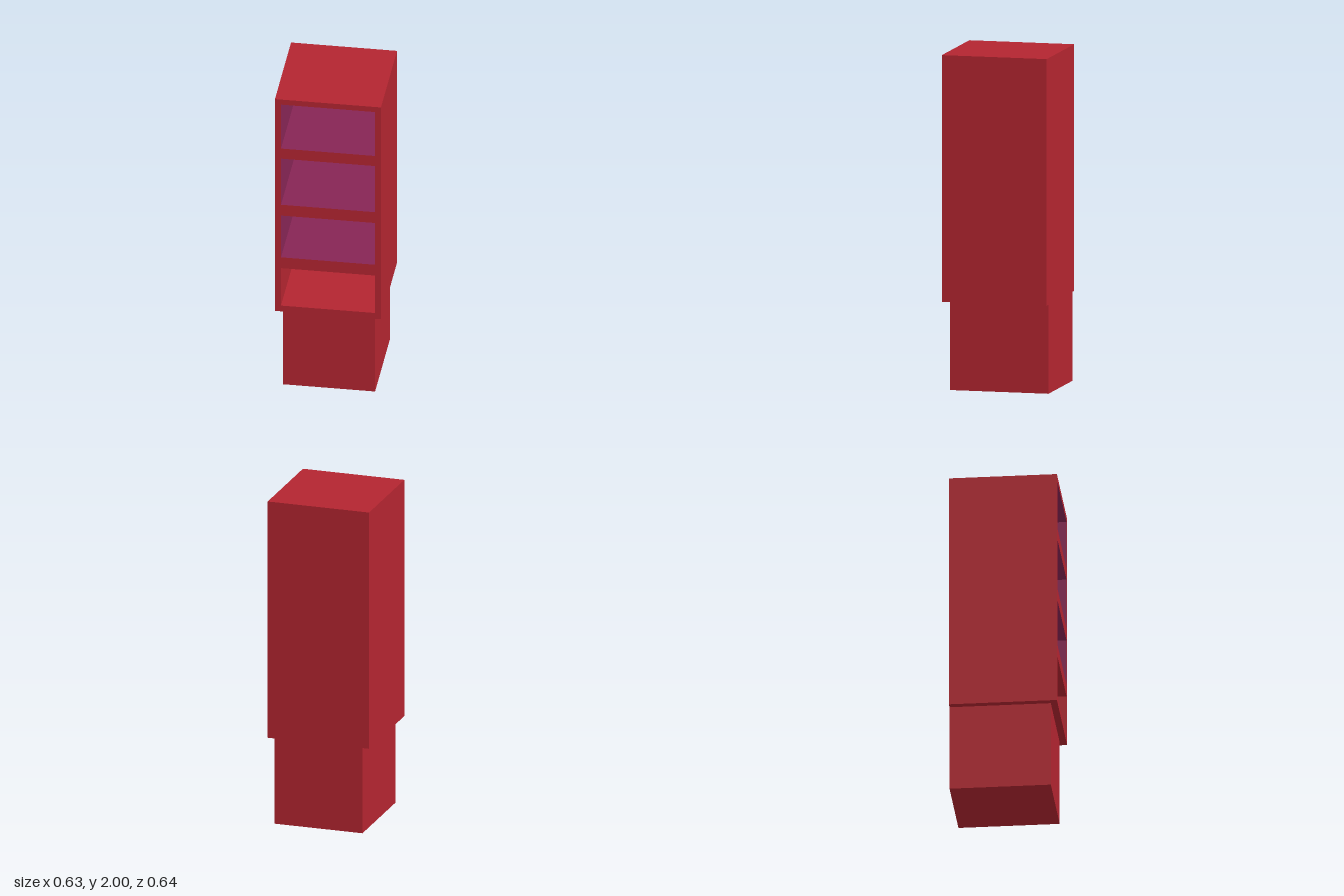
import * as THREE from 'three';

export function createModel() {
  const model = new THREE.Group();
  model.name = 'shelfTower';

  const mat = (name, color) => {
    const m = new THREE.MeshStandardMaterial({ color });
    m.name = name;
    return m;
  };
  const red = mat('red', 0xb32530);
  const purple = mat('purple', 0x872555);
  const pink = mat('pink', 0xcf2566);

  const add = (parent, name, geometry, material) => {
    const mesh = new THREE.Mesh(geometry, material);
    mesh.name = name;
    parent.add(mesh);
    return mesh;
  };

  // Flat panel facing +z by default, turned by rx / ry
  const panel = (parent, name, material, w, h, pos, rx = 0, ry = 0) => {
    const mesh = add(parent, name, new THREE.PlaneGeometry(w, h), material);
    mesh.position.set(...pos);
    mesh.rotation.set(rx, ry, 0);
  };

  const Q = Math.PI / 2;
  const W = 0.316, D = 0.32, Y0 = 0.53, Y1 = 2; // cabinet half sizes and heights
  const IW = 0.28, BACK = -0.28;               // compartment half width and back

  // Base, flush with the cabinet at the back
  add(model, 'base', new THREE.BoxGeometry(0.55, Y0, 0.6), red).position.set(0, Y0 / 2, -0.02);

  // Cabinet shell without its front
  const cabinet = new THREE.Group();
  cabinet.name = 'cabinet';
  model.add(cabinet);
  const H = Y1 - Y0, YC = (Y0 + Y1) / 2;
  for (const s of [-1, 1]) {
    panel(cabinet, s > 0 ? 'leftSide' : 'rightSide', red, D * 2, H, [s * W, YC, 0], 0, s * Q);
  }
  panel(cabinet, 'back', red, W * 2, H, [0, YC, -D], 0, Math.PI);
  panel(cabinet, 'top', red, W * 2, D * 2, [0, Y1, 0], -Q);
  panel(cabinet, 'underside', red, W * 2, D * 2, [0, Y0, 0], Q);

  // Compartments: bottom, top, lining, back
  const compartments = [
    [0.57, 0.83, red, red],
    [0.905, 1.195, purple, purple],
    [1.27, 1.59, purple, pink],
    [1.66, 1.965, purple, purple],
  ];

  // Front frame with one opening per compartment
  const rect = (target, x, y0, y1) => {
    target.moveTo(-x, y0);
    target.lineTo(x, y0);
    target.lineTo(x, y1);
    target.lineTo(-x, y1);
    target.closePath();
    return target;
  };
  const front = rect(new THREE.Shape(), W, Y0, Y1);
  for (const [y0, y1] of compartments) front.holes.push(rect(new THREE.Path(), IW, y0, y1));
  add(cabinet, 'frontFrame', new THREE.ShapeGeometry(front), red).position.z = D;

  // Inward-facing lining of each compartment
  compartments.forEach(([y0, y1, lining, backing], i) => {
    const g = new THREE.Group();
    g.name = `compartment${i + 1}`;
    cabinet.add(g);
    const h = y1 - y0, yc = (y0 + y1) / 2, depth = D - BACK, zc = (D + BACK) / 2;
    panel(g, 'floor', lining, IW * 2, depth, [0, y0, zc], -Q);
    panel(g, 'ceiling', lining, IW * 2, depth, [0, y1, zc], Q);
    for (const s of [-1, 1]) {
      panel(g, s > 0 ? 'leftWall' : 'rightWall', lining, depth, h, [s * IW, yc, zc], 0, -s * Q);
    }
    panel(g, 'backWall', backing, IW * 2, h, [0, yc, BACK]);
  });

  return model;
}
